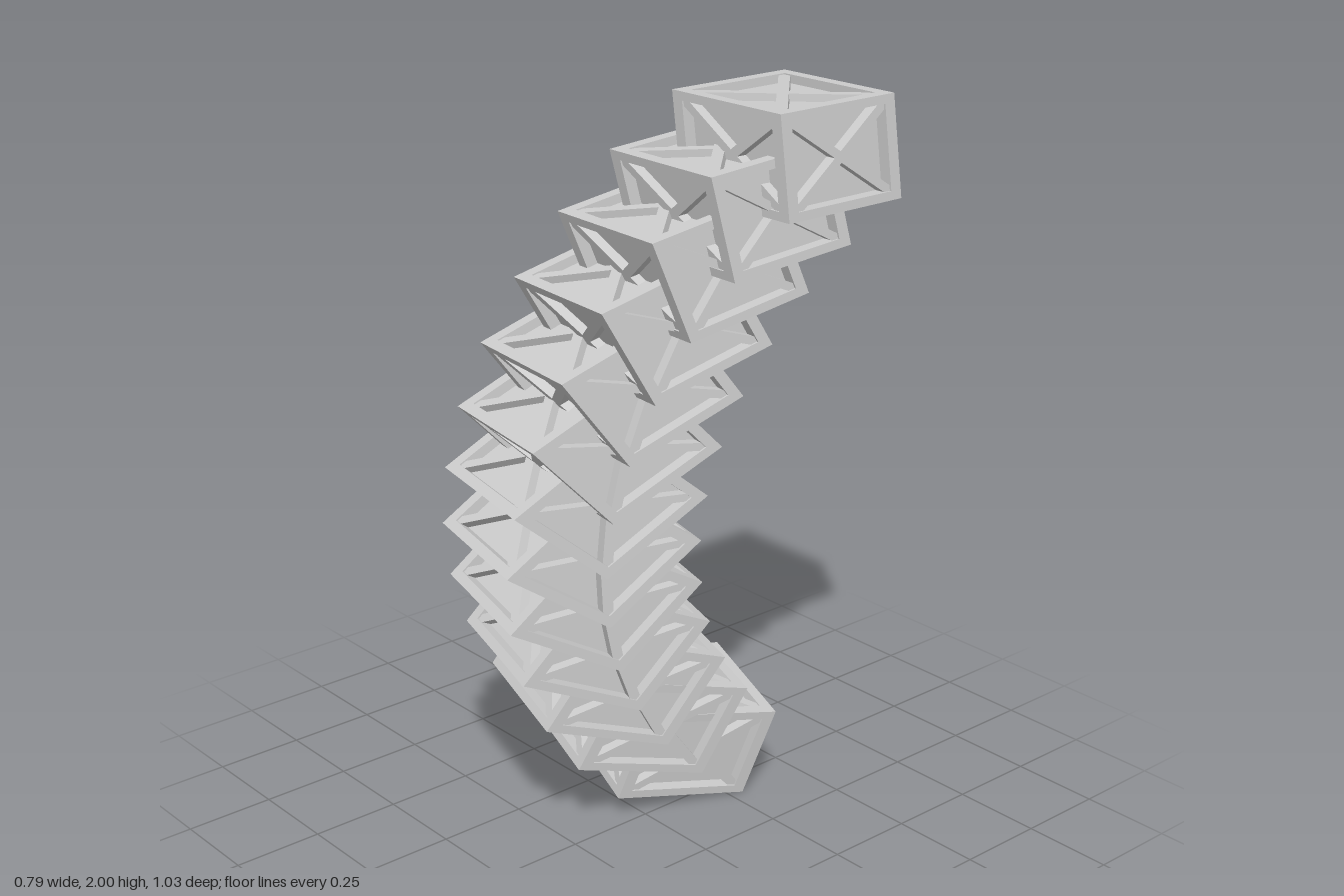
import * as THREE from 'three';
import { mergeGeometries } from 'three/addons/utils/BufferGeometryUtils.js';

const SIZE = 0.39;            // crate edge before squashing
const BAR = 0.034;            // frame bar thickness
const INNER = SIZE - 2 * BAR;

// Crate centres from the top of the column to the bottom (x, y, z)
const CENTRES = [
  [0.176, 1.868, -0.315], [0.134, 1.749, -0.164], [0.098, 1.622, -0.04],
  [0.064, 1.482, 0.063], [0.033, 1.337, 0.14], [0.004, 1.188, 0.19],
  [-0.023, 1.037, 0.215], [-0.051, 0.888, 0.21], [-0.076, 0.739, 0.178],
  [-0.098, 0.59, 0.122], [-0.115, 0.441, 0.038], [-0.126, 0.3, -0.071],
  [-0.132, 0.175, -0.204],
];

// Twelve edge bars
function frameGeometry() {
  const parts = [];
  const o = (SIZE - BAR) / 2;
  for (const a of [-o, o]) {
    for (const b of [-o, o]) {
      parts.push(new THREE.BoxGeometry(SIZE, BAR, BAR).translate(0, a, b));
      parts.push(new THREE.BoxGeometry(BAR, INNER, BAR).translate(a, 0, b));
      parts.push(new THREE.BoxGeometry(BAR, BAR, INNER).translate(a, b, 0));
    }
  }
  return mergeGeometries(parts);
}

// Crossed planks set into each of the six faces
function braceGeometry() {
  const parts = [];
  const depth = BAR * 0.85;
  const turns = [[0, 0], [0, 1], [0, 2], [0, 3], [1, 0], [-1, 0]];
  for (const [rx, ry] of turns) {
    for (const side of [-1, 1]) {
      parts.push(new THREE.BoxGeometry(INNER * Math.SQRT2, 0.03, depth)
        .rotateZ(side * Math.PI / 4)
        .translate(0, 0, INNER / 2 + depth / 2)
        .rotateX(rx * Math.PI / 2)
        .rotateY(ry * Math.PI / 2));
    }
  }
  return mergeGeometries(parts);
}

export function createModel() {
  const model = new THREE.Group();
  model.name = 'curvedCrateColumn';
  const material = new THREE.MeshStandardMaterial({ color: 0xcccccc, flatShading: true });

  const parts = {
    frame: frameGeometry(),
    crossBraces: braceGeometry(),
    panels: new THREE.BoxGeometry(INNER, INNER, INNER),
  };

  // Every crate is turned a little further, then squashed and leaned alike
  const axis = new THREE.Vector3(0.96, -0.27, 0.05).normalize();
  const step = THREE.MathUtils.degToRad(6.6);
  const squash = new THREE.Matrix4().set(
    1, -0.1, 0, 0,
    0, 2 / 3, 0, 0,
    0, 0, 1, 0,
    0, 0, 0, 1,
  );

  CENTRES.forEach((centre, i) => {
    const crate = new THREE.Group();
    crate.name = `crate${i + 1}`;
    crate.position.set(...centre);
    const shape = squash.clone().multiply(new THREE.Matrix4().makeRotationAxis(axis, i * step));
    for (const [name, geometry] of Object.entries(parts)) {
      const mesh = new THREE.Mesh(geometry.clone().applyMatrix4(shape), material);
      mesh.name = name;
      crate.add(mesh);
    }
    model.add(crate);
  });
  return model;
}
